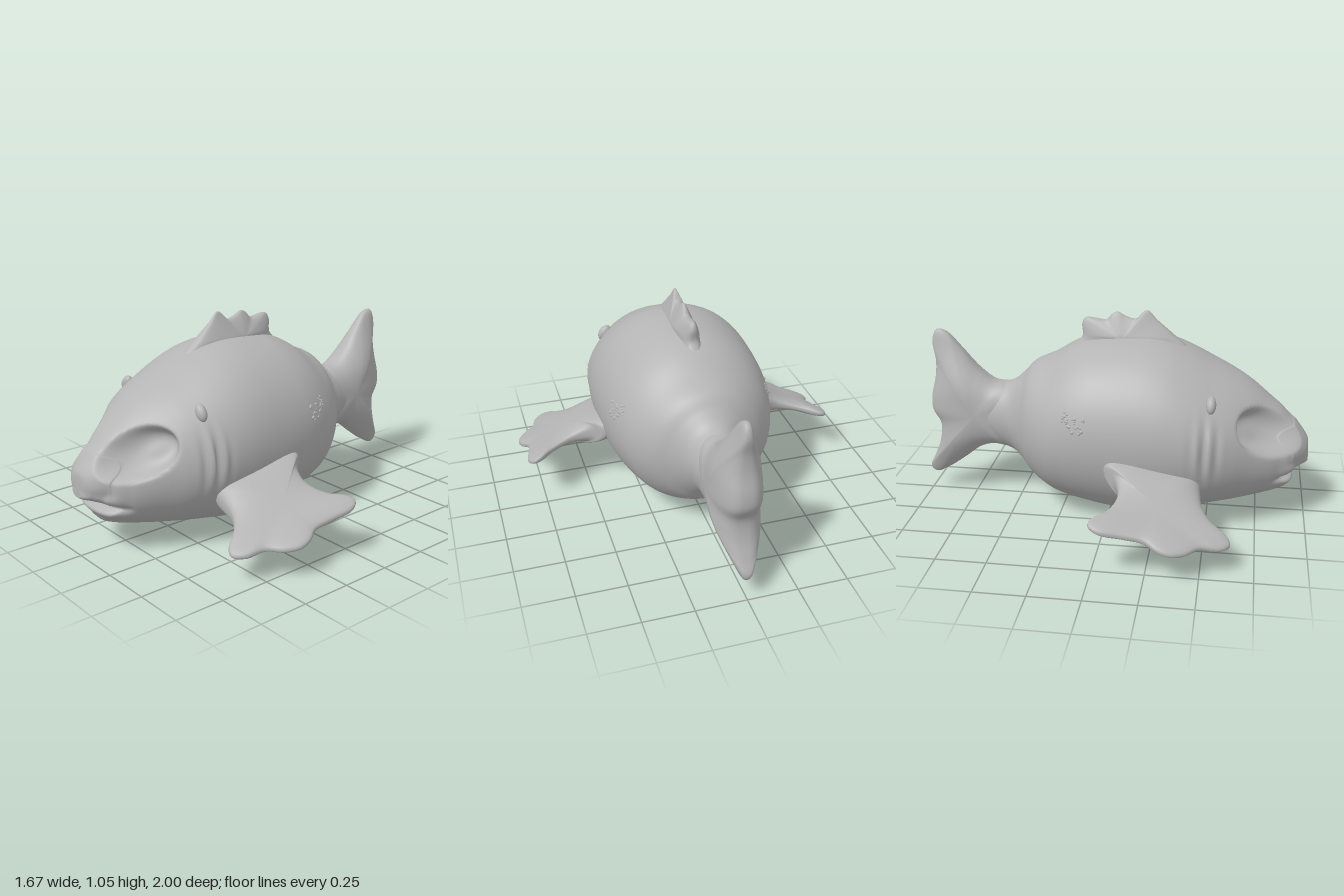
import * as THREE from 'three';
import { mergeVertices } from 'three/addons/utils/BufferGeometryUtils.js';

const grey = new THREE.MeshStandardMaterial({ color: 0xb4b4b4 });
grey.name = 'grey';

// Smooth closed skin from rows of looping points; winding is set so it faces outward.
function skin(rows, cols, point) {
  const pos = [], idx = [];
  for (let k = 0; k <= rows; k++)
    for (let j = 0; j < cols; j++) pos.push(...point(k / rows, j / cols));
  for (let k = 0; k < rows; k++)
    for (let j = 0; j < cols; j++) {
      const a = k * cols + j, b = k * cols + (j + 1) % cols;
      idx.push(a, a + cols, b, b, a + cols, b + cols);
    }
  const v = (i) => new THREE.Vector3().fromArray(pos, i * 3);
  let volume = 0;
  for (let i = 0; i < idx.length; i += 3) volume += v(idx[i]).dot(v(idx[i + 1]).cross(v(idx[i + 2])));
  if (volume < 0) idx.reverse();
  let g = new THREE.BufferGeometry();
  g.setAttribute('position', new THREE.Float32BufferAttribute(pos, 3));
  g.setIndex(idx);
  g = mergeVertices(g, 1e-5);
  g.computeVertexNormals();
  return g;
}

// Pillow-shaped fin: an outline swollen about its centre; place() maps (u, v, side) to space.
function fin(outline, centre, place) {
  const curve = new THREE.CatmullRomCurve3(outline.map(([u, v]) => new THREE.Vector3(u, v, 0)), true);
  const ring = curve.getSpacedPoints(120);
  return skin(32, 120, (s, t) => {
    const r = Math.sin(s * Math.PI), c = Math.cos(s * Math.PI);
    const p = ring[Math.round(t * 120)];
    const swell = Math.sign(c) * Math.pow(Math.abs(c), 0.7);
    return place(centre[0] + (p.x - centre[0]) * r, centre[1] + (p.y - centre[1]) * r, swell);
  });
}

const gauss = (d, w) => Math.exp(-((d / w) ** 2));
const { smoothstep, clamp, lerp } = THREE.MathUtils;

// Body stations: z, top, bottom, half width
const stations = [
  [1, 0.36, 0.34, 0], [0.995, 0.41, 0.31, 0.05], [0.98, 0.44, 0.29, 0.085], [0.95, 0.48, 0.275, 0.125],
  [0.925, 0.51, 0.25, 0.15], [0.912, 0.52, 0.2, 0.158], [0.89, 0.54, 0.16, 0.178], [0.85, 0.58, 0.14, 0.205],
  [0.8, 0.62, 0.125, 0.24], [0.7, 0.7, 0.1, 0.3], [0.6, 0.76, 0.08, 0.36], [0.5, 0.81, 0.06, 0.4],
  [0.4, 0.86, 0.04, 0.425], [0.3, 0.9, 0.02, 0.437], [0.2, 0.92, 0.005, 0.44], [0.1, 0.922, 0, 0.438],
  [0, 0.915, 0.01, 0.432], [-0.1, 0.9, 0.028, 0.42], [-0.2, 0.865, 0.05, 0.395], [-0.3, 0.805, 0.085, 0.355],
  [-0.4, 0.76, 0.15, 0.28], [-0.46, 0.7, 0.215, 0.205], [-0.52, 0.65, 0.265, 0.15], [-0.6, 0.625, 0.295, 0.125],
  [-0.7, 0.58, 0.34, 0.1], [-0.78, 0.47, 0.47, 0],
];

function bodyGeometry() {
  const heights = new THREE.CatmullRomCurve3(stations.map(([z, t, b]) => new THREE.Vector3(z, t, b)), false, 'catmullrom');
  const widths = new THREE.CatmullRomCurve3(stations.map(([z, , , w]) => new THREE.Vector3(z, w, 0)), false, 'catmullrom');
  return skin(240, 120, (s, t) => {
    const h = heights.getPoint(s), w = Math.max(0, widths.getPoint(s).y), a = t * Math.PI * 2;
    let x = w * Math.cos(a), z = h.x;
    const y = (h.y + h.z) / 2 + (h.y - h.z) / 2 * Math.sin(a), ax = Math.abs(x);
    // gill folds
    const gill = smoothstep(ax, 0.3, 0.36) * gauss(z - 0.5, 0.06) * gauss(y - 0.47, 0.12);
    x *= 1 + 0.035 * gill * Math.sin((z - 0.5) * 95);
    if (z > 0.45) {
      // eye sockets
      const e = Math.max(0, 1 - ((ax - 0.19) / 0.13) ** 2 - ((y - 0.51) / 0.13) ** 2);
      z -= 0.13 * e * e * (3 - 2 * e);
    }
    if (h.x > 0.7) {
      // lips and mouth line
      const m = 1 - smoothstep(ax, 0.14, 0.21);
      z += m * (0.012 * gauss(y - 0.3, 0.022) - 0.04 * gauss(y - 0.253, 0.016) + 0.012 * gauss(y - 0.215, 0.02));
    }
    return [x, y, Math.min(z, 1)];
  });
}

const tailOutline = [
  [-0.47, 0.6], [-0.55, 0.632], [-0.62, 0.64], [-0.7, 0.7], [-0.8, 0.82], [-0.87, 0.895], [-0.92, 0.905],
  [-0.945, 0.85], [-0.93, 0.75], [-0.935, 0.66], [-0.96, 0.55], [-0.96, 0.48], [-0.92, 0.4], [-0.93, 0.3],
  [-0.97, 0.2], [-1, 0.13], [-0.97, 0.1], [-0.9, 0.13], [-0.8, 0.2], [-0.7, 0.275], [-0.62, 0.295], [-0.53, 0.285], [-0.47, 0.33],
];
const dorsalOutline = [
  [0.38, 0.85], [0.3, 0.93], [0.22, 1], [0.17, 1.05], [0.145, 1.035], [0.115, 1.003], [0.06, 1.015], [0.02, 1.035],
  [-0.01, 1.02], [-0.035, 0.993], [-0.09, 0.998], [-0.14, 1], [-0.158, 0.97], [-0.155, 0.91], [-0.19, 0.85], [0.05, 0.8],
];
const pectoralOutline = [
  [0.34, 0.46], [0.42, 0.48], [0.5, 0.495], [0.57, 0.54], [0.63, 0.62], [0.67, 0.635], [0.715, 0.59], [0.74, 0.5],
  [0.8, 0.44], [0.835, 0.37], [0.83, 0.31], [0.8, 0.25], [0.81, 0.15], [0.825, 0.04], [0.8, -0.005], [0.765, 0],
  [0.7, 0.055], [0.63, 0.09], [0.56, 0.1], [0.48, 0.07], [0.42, 0.01], [0.34, 0.06],
];

export function createModel() {
  const model = new THREE.Group();
  model.name = 'fish';
  const add = (name, geometry) => {
    const mesh = new THREE.Mesh(geometry, grey);
    mesh.name = name;
    model.add(mesh);
    return mesh;
  };

  add('body', bodyGeometry());

  add('tailFin', fin(tailOutline, [-0.72, 0.47], (z, y, side) =>
    [side * lerp(0.122, 0.05, smoothstep(Math.abs(y - 0.47), 0.1, 0.42)), y, z]));

  add('dorsalFin', fin(dorsalOutline, [0.05, 0.9], (z, y, side) =>
    [side * clamp((1.09 - y) * 0.35, 0.012, 0.06), y, z]));

  const bump = new THREE.SphereGeometry(1, 16, 12);
  const scale = new THREE.IcosahedronGeometry(1, 1);
  for (const [label, m] of [['left', 1], ['right', -1]]) {
    // drooping side fin, thick at the root and raised towards the back
    add(label + 'PectoralFin', fin(pectoralOutline, [0.62, 0.28], (x, z, side) => {
      const y = 0.31 - 0.28 * (x - 0.4) - 0.25 * (z - 0.25);
      return [m * x, y + side * lerp(0.1, 0.035, smoothstep(x, 0.36, 0.7)), z];
    }));

    // small knob behind the eye
    const knob = add(label + 'HeadKnob', bump);
    knob.position.set(m * 0.303, 0.68, 0.51);
    knob.scale.set(0.03, 0.045, 0.025);
    knob.rotation.z = m * 0.6;

    // rough patch of tiny scales
    let seed = 7;
    const rand = () => (seed = (seed * 16807) % 2147483647) / 2147483647;
    for (let i = 0; i < 30; i++) {
      const along = rand() + rand() - 1, up = rand() + rand() - 1;
      const z = -0.16 + along * 0.085, y = 0.59 + up * 0.05 - along * 0.03;
      const half = lerp(0.42, 0.39, (-0.1 - z) / 0.1);
      const x = half * Math.sqrt(1 - ((y - 0.46) / 0.415) ** 2);
      const s = add(label + 'RoughScale', scale);
      s.position.set(m * x, y, z);
      s.scale.setScalar(0.006 + 0.004 * rand());
    }
  }
  return model;
}
